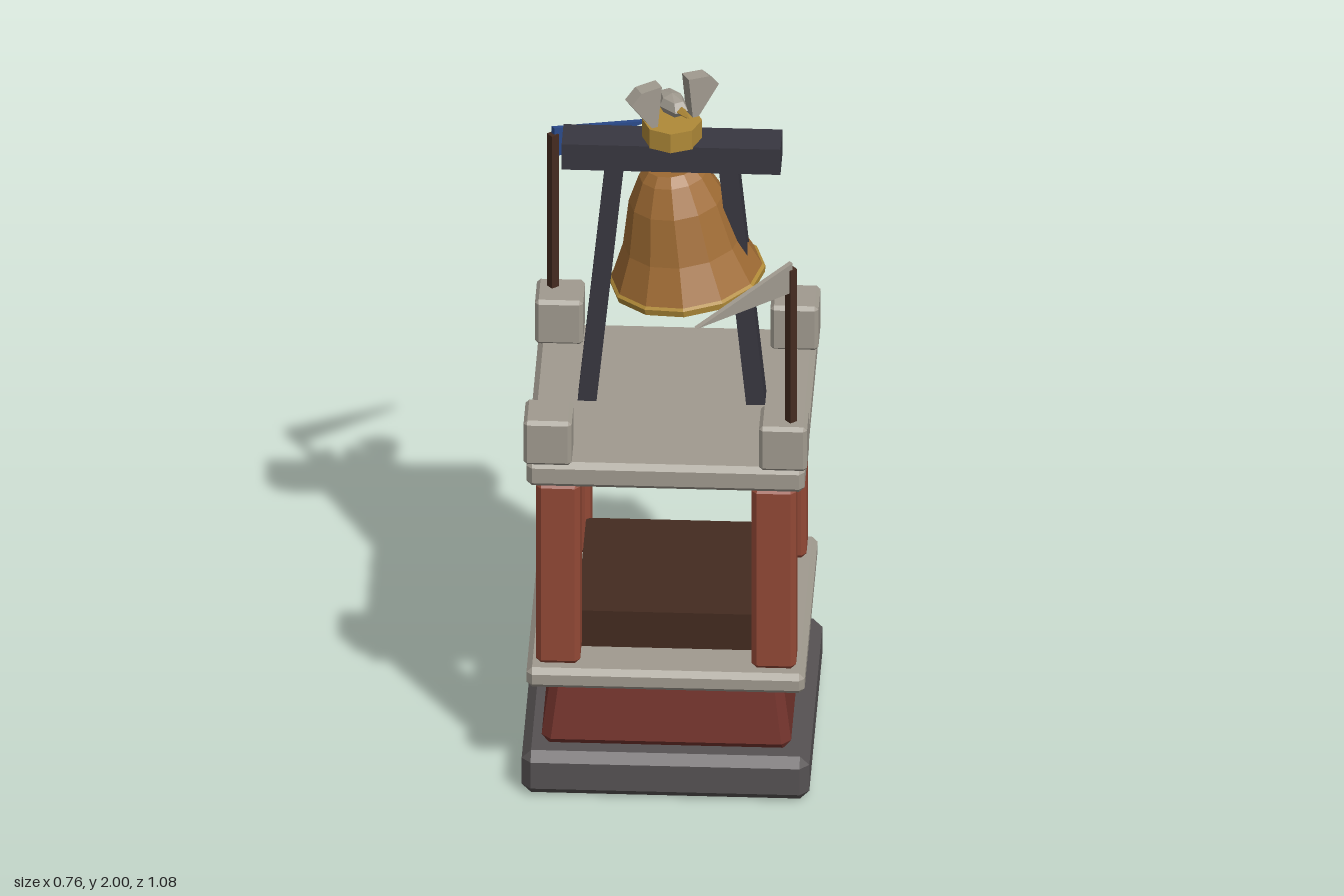
import * as THREE from 'three';
import { ConvexGeometry } from 'three/addons/geometries/ConvexGeometry.js';

const mat = (name, color) => {
  const m = new THREE.MeshStandardMaterial({ color });
  m.name = name;
  return m;
};

// Faceted normals for low-poly parts
function flat(geometry) {
  const g = geometry.index ? geometry.toNonIndexed() : geometry;
  g.computeVertexNormals();
  return g;
}

// Box with chamfered edges, standing on y = 0; taper scales the top in x and z
function chamferBox(w, h, d, c, taper = 1) {
  const points = [];
  for (const sx of [-1, 1]) for (const sy of [-1, 1]) for (const sz of [-1, 1]) {
    for (const [a, b, e] of [[0, c, c], [c, 0, c], [c, c, 0]]) {
      const y = sy * (h / 2 - b);
      const k = 1 + (taper - 1) * (y / h + 0.5);
      points.push(new THREE.Vector3(sx * (w / 2 - a) * k, y + h / 2, sz * (d / 2 - e) * k));
    }
  }
  return new ConvexGeometry(points);
}

// Flat plate of the given outline, centred on z = 0
function plate(outline, depth) {
  const shape = new THREE.Shape(outline.map(([x, y]) => new THREE.Vector2(x, y)));
  const g = new THREE.ExtrudeGeometry(shape, { depth, bevelEnabled: false });
  return g.translate(0, 0, -depth / 2);
}

const lathe = (profile, sides) =>
  flat(new THREE.LatheGeometry(profile.map(([r, y]) => new THREE.Vector2(r, y)), sides));

export function createModel() {
  const model = new THREE.Group();
  model.name = 'bellTower';

  const darkStone = mat('dark stone', 0x565253);
  const stone = mat('pale stone', 0xa09a8f);
  const darkBrick = mat('dark brick', 0x74342d);
  const brick = mat('brick', 0x924836);
  const wood = mat('dark wood', 0x442b20);
  const iron = mat('iron', 0x383740);
  const bronze = mat('bronze', 0xa06c34);
  const gold = mat('gold', 0xb08a38);
  const blue = mat('blue cloth', 0x2a4a8a);

  const add = (name, geometry, material, x = 0, y = 0, z = 0, parent = model) => {
    const mesh = new THREE.Mesh(geometry, material);
    mesh.name = name;
    mesh.position.set(x, y, z);
    parent.add(mesh);
    return mesh;
  };

  // Stacked base and platforms
  add('plinth', chamferBox(0.765, 0.13, 0.765, 0.025), darkStone);
  add('taperedBase', chamferBox(0.67, 0.2, 0.67, 0.025, 0.92), darkBrick, 0, 0.125);
  add('lowerSlab', chamferBox(0.74, 0.06, 0.74, 0.015), stone, 0, 0.325);
  add('woodenFloor', new THREE.BoxGeometry(0.48, 0.11, 0.48), wood, 0, 0.44);
  add('upperSlab', chamferBox(0.74, 0.075, 0.74, 0.015), stone, 0, 0.948);
  add('ceilingBeam', new THREE.BoxGeometry(0.56, 0.07, 0.105), wood, 0, 0.915);

  // Corner pillars and the blocks above them
  for (const sx of [-1, 1]) for (const sz of [-1, 1]) {
    add('pillar', chamferBox(0.118, 0.56, 0.118, 0.014), brick, sx * 0.287, 0.387, sz * 0.287);
    add('cornerBlock', chamferBox(0.128, 0.135, 0.128, 0.01), stone, sx * 0.313, 1.02, sz * 0.313);
  }

  // Pennants on opposite corners
  const pennant = plate([[0, 1.555], [0.316, 1.555], [0, 1.645]], 0.014);
  for (const [side, cloth] of [[-1, blue], [1, stone]]) {
    const flagpole = new THREE.Group();
    flagpole.name = 'flagpole';
    flagpole.position.set(side * 0.333, 0, side * 0.333);
    flagpole.rotation.y = 0.69 + (side > 0 ? Math.PI : 0);
    add('pole', new THREE.BoxGeometry(0.023, 0.48, 0.023), wood, 0, 1.385, 0, flagpole);
    add('pennant', pennant, cloth, 0, 0, 0, flagpole);
    model.add(flagpole);
  }

  // Bell frame
  for (const side of [-1, 1]) {
    const leg = add('frameLeg', new THREE.BoxGeometry(0.05, 0.765, 0.075), iron, side * 0.187, 1.393, 0);
    leg.rotation.z = side * 0.1;
  }
  add('crossBeam', new THREE.BoxGeometry(0.582, 0.078, 0.105), iron, 0, 1.785);
  add('bellHanger', new THREE.BoxGeometry(0.05, 0.04, 0.05), iron, 0, 1.735);

  // Swinging bell, tilted about its crown
  const bell = new THREE.Group();
  bell.name = 'bell';
  bell.position.y = 1.74;
  bell.rotation.z = 0.12;
  model.add(bell);
  add('bellBody', lathe([
    [0, -0.04], [0.065, -0.05], [0.105, -0.11], [0.135, -0.23], [0.18, -0.345],
    [0.2, -0.345], [0.203, -0.33], [0.159, -0.23], [0.128, -0.1], [0.092, -0.025], [0.07, 0], [0, 0],
  ], 12), bronze, 0, 0, 0, bell);
  add('bellLip', lathe([
    [0.178, -0.352], [0.207, -0.352], [0.21, -0.334], [0.198, -0.325],
  ], 12), gold, 0, 0, 0, bell);
  add('clapperRod', flat(new THREE.CylinderGeometry(0.01, 0.01, 0.34, 6)), iron, 0, -0.21, 0, bell);
  add('clapper', flat(new THREE.SphereGeometry(0.04, 8, 6)), iron, 0, -0.39, 0, bell);

  // Gold cap with a perched bird
  add('cap', flat(new THREE.CylinderGeometry(0.08, 0.08, 0.058, 8)), gold, 0, 1.85);
  const bird = new THREE.Group();
  bird.name = 'bird';
  bird.position.y = 1.93;
  bird.rotation.y = 0.52;
  model.add(bird);
  add('birdBody', flat(new THREE.SphereGeometry(1, 6, 4)), stone, 0, 0, 0, bird).scale.set(0.037, 0.03, 0.065);
  const beak = add('beak', flat(new THREE.ConeGeometry(0.014, 0.05, 4)), gold, 0, 0.003, 0.08, bird);
  beak.rotation.x = Math.PI / 2;
  const wing = plate([[0.052, -0.05], [0.07, -0.05], [0.13, 0.034], [0.1, 0.065], [0.04, 0.07]], 0.04);
  for (const turn of [0, Math.PI]) {
    add('wing', wing, stone, 0, 0, 0, bird).rotation.y = turn;
  }

  return model;
}
